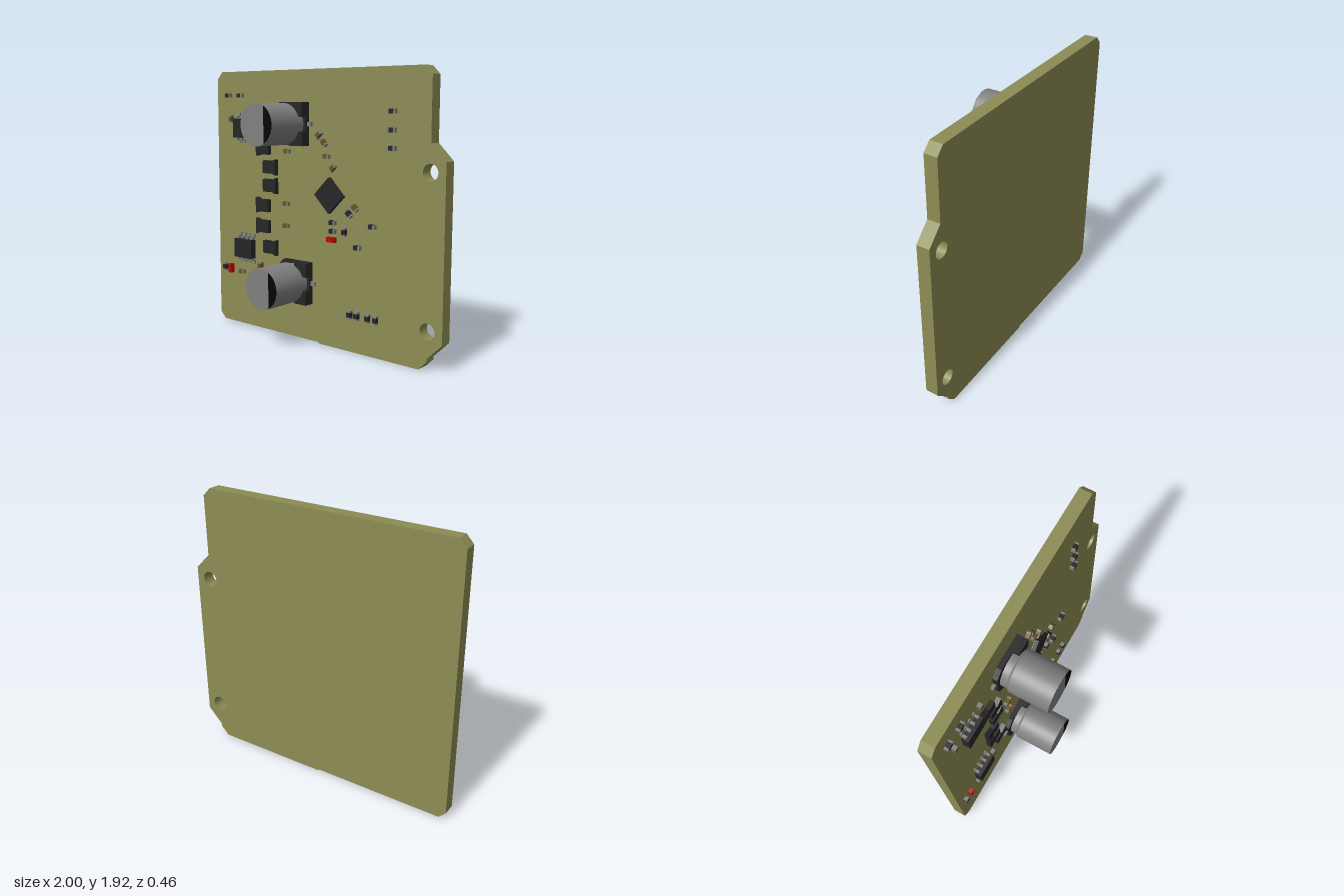
import * as THREE from 'three';

const BACK = -0.23, FACE = -0.14; // board back and component face
const mat = (color) => new THREE.MeshStandardMaterial({ color });
const boardMat = mat(0x8c8c55), black = mat(0x262626), ink = mat(0x050505);
const metal = mat(0x808080), brown = mat(0x6b5218), red = mat(0xc00000);

function add(parent, name, geometry, material, x = 0, y = 0, z = 0) {
  const mesh = new THREE.Mesh(geometry, material);
  mesh.name = name;
  mesh.position.set(x, y, z);
  parent.add(mesh);
  return mesh;
}

function place(parent, name, x, y, angle = 0) {
  const g = new THREE.Group();
  g.name = name;
  g.position.set(x, y, FACE);
  g.rotation.z = THREE.MathUtils.degToRad(angle);
  parent.add(g);
  return g;
}

const box = (w, h, d) => new THREE.BoxGeometry(w, h, d);
const outline = (pts) => new THREE.Shape(pts.map(([x, y]) => new THREE.Vector2(x, y)));
const extrude = (shape, depth) =>
  new THREE.ExtrudeGeometry(shape, { depth, bevelEnabled: false, curveSegments: 24 });

// Circuit board with clipped corners and two mounting holes
function addBoard(root) {
  const shape = outline([
    [-1, 0.06], [-0.95, 0.01], [0, 0.01], [0, 0], [0.83, 0], [0.89, 0.06], [0.89, 0.08],
    [1, 0.19], [1, 1.34], [0.89, 1.45], [0.89, 1.87], [0.835, 1.925], [-0.95, 1.925], [-1, 1.87],
  ]);
  for (const y of [0.26, 1.27]) {
    const hole = new THREE.Path();
    hole.absarc(0.89, y, 0.055, 0, Math.PI * 2, true);
    shape.holes.push(hole);
  }
  add(root, 'board', extrude(shape, FACE - BACK), boardMat, 0, 0, BACK);
}

// Tall can capacitor on a moulded base
function addCapacitor(root, x, y) {
  const g = place(root, 'canCapacitor', x, y);
  const s = 0.15, c = 0.055, r = 0.145;
  const base = outline([[-s, -s + c], [-s + c, -s], [s, -s], [s, s], [-s + c, s], [-s, s - c]]);
  add(g, 'capacitorBase', extrude(base, 0.035), black);
  for (const side of [-1, 1]) {
    add(g, 'baseCorner', box(0.11, 0.1, 0.075), black, 0.095, side * 0.1, 0.0375);
    add(g, 'lead', box(0.05, 0.032, 0.02), metal, side * 0.16, 0, 0.012);
  }
  // Lathe axis turned to point out of the board
  const profile = [[0, 0.03], [0.13, 0.03], [0.13, 0.08], [r, 0.095], [r, 0.37], [0, 0.37]];
  // Repeating the corner points keeps the edges crisp
  const pts = profile.flatMap(([a, b]) => [new THREE.Vector2(a, b), new THREE.Vector2(a, b)]);
  const can = add(g, 'can', new THREE.LatheGeometry(pts, 48), metal);
  can.rotation.x = Math.PI / 2;
  // Dark polarity mark: a circular segment on the end face
  const a = Math.acos(0.07 / r);
  const mark = new THREE.Shape();
  mark.absarc(0, 0, r - 0.001, -a, a, false);
  add(g, 'polarityMark', extrude(mark, 0.001), ink, 0, 0, 0.37);
}

// Eight-legged chip
function addChip(root, x, y) {
  const g = place(root, 'chip', x, y);
  add(g, 'chipBody', box(0.175, 0.14, 0.05), black, 0, 0, 0.038);
  for (const side of [-1, 1]) {
    for (let i = 0; i < 4; i++) {
      const lx = (i - 1.5) * 0.046;
      add(g, 'legShoulder', box(0.018, 0.022, 0.012), metal, lx, side * 0.075, 0.036);
      add(g, 'legDrop', box(0.018, 0.01, 0.034), metal, lx, side * 0.085, 0.025);
      add(g, 'legFoot', box(0.018, 0.026, 0.01), metal, lx, side * 0.099, 0.007);
    }
  }
}

// Flared diode package
const diodeShape = outline([
  [-0.06, -0.058], [0, -0.036], [0, -0.046], [0.062, -0.046],
  [0.062, 0.046], [0, 0.046], [0, 0.036], [-0.06, 0.058],
]);
function addDiode(root, x, y, angle) {
  add(place(root, 'diode', x, y, angle), 'diodeBody', extrude(diodeShape, 0.035), black);
}

// Small two-ended component: coloured middle, metal ends
function addPassive(root, name, color, [x, y, angle = 0], k = 1) {
  const g = place(root, name, x, y, angle);
  add(g, 'middle', box(0.034 * k, 0.03 * k, 0.03), color, 0, 0, 0.015);
  for (const side of [-1, 1]) {
    add(g, 'endCap', box(0.013 * k, 0.03 * k, 0.028), color === red ? red : metal, side * 0.0235 * k, 0, 0.014);
  }
}

export function createModel() {
  const root = new THREE.Group();
  root.name = 'circuitBoard';
  addBoard(root);

  addCapacitor(root, -0.24, 1.55);
  addCapacitor(root, -0.205, 0.43);
  addChip(root, -0.69, 1.51);
  addChip(root, -0.69, 0.61);

  [[-0.51, 1.37, 0], [-0.44, 1.235, 180], [-0.44, 1.1, 180],
    [-0.515, 0.95, 0], [-0.515, 0.795, 0], [-0.44, 0.645, 180],
  ].forEach((d) => addDiode(root, ...d));

  // Square processor turned on its corner
  const cpu = place(root, 'processor', 0.11, 1.07, 45);
  add(cpu, 'processorBody', box(0.176, 0.176, 0.03), black, 0, 0, 0.018);
  for (let i = 0; i < 8; i++) {
    const t = (i - 3.5) * 0.02;
    add(cpu, 'pad', box(0.01, 0.177, 0.008), metal, t, 0, 0.004);
    add(cpu, 'pad', box(0.177, 0.01, 0.008), metal, 0, t, 0.004);
  }

  // Resistors: x, y, angle
  [[-0.875, 1.75], [-0.75, 1.75], [0.61, 1.645], [0.61, 1.525], [0.61, 1.41],
    [0.13, 0.885], [0.13, 0.825], [0.235, 0.83, 90], [0.272, 0.96, -45], [0.46, 0.89],
    [0.34, 0.735], [0.285, 0.265, 90], [0.345, 0.265, 90], [0.435, 0.265, 90],
    [0.5, 0.265, 90], [-0.93, 0.435, 90],
  ].forEach((p) => addPassive(root, 'resistor', black, p));

  // Ceramic capacitors
  [[-0.845, 1.575, 90], [-0.56, 1.595, 90], [-0.285, 1.355], [0.01, 1.48, 45],
    [0.055, 1.43, -45], [0.075, 1.335], [0.135, 1.26, 45], [0.322, 1.005, -45],
    [-0.295, 0.98], [-0.295, 0.82], [-0.55, 0.49, 90], [-0.75, 0.42],
  ].forEach((p) => addPassive(root, 'ceramicCapacitor', brown, p));

  // Indicator lights
  [[0.125, 0.765], [-0.865, 0.43, 90]].forEach((p) => addPassive(root, 'indicatorLight', red, p, 1.15));

  return root;
}
